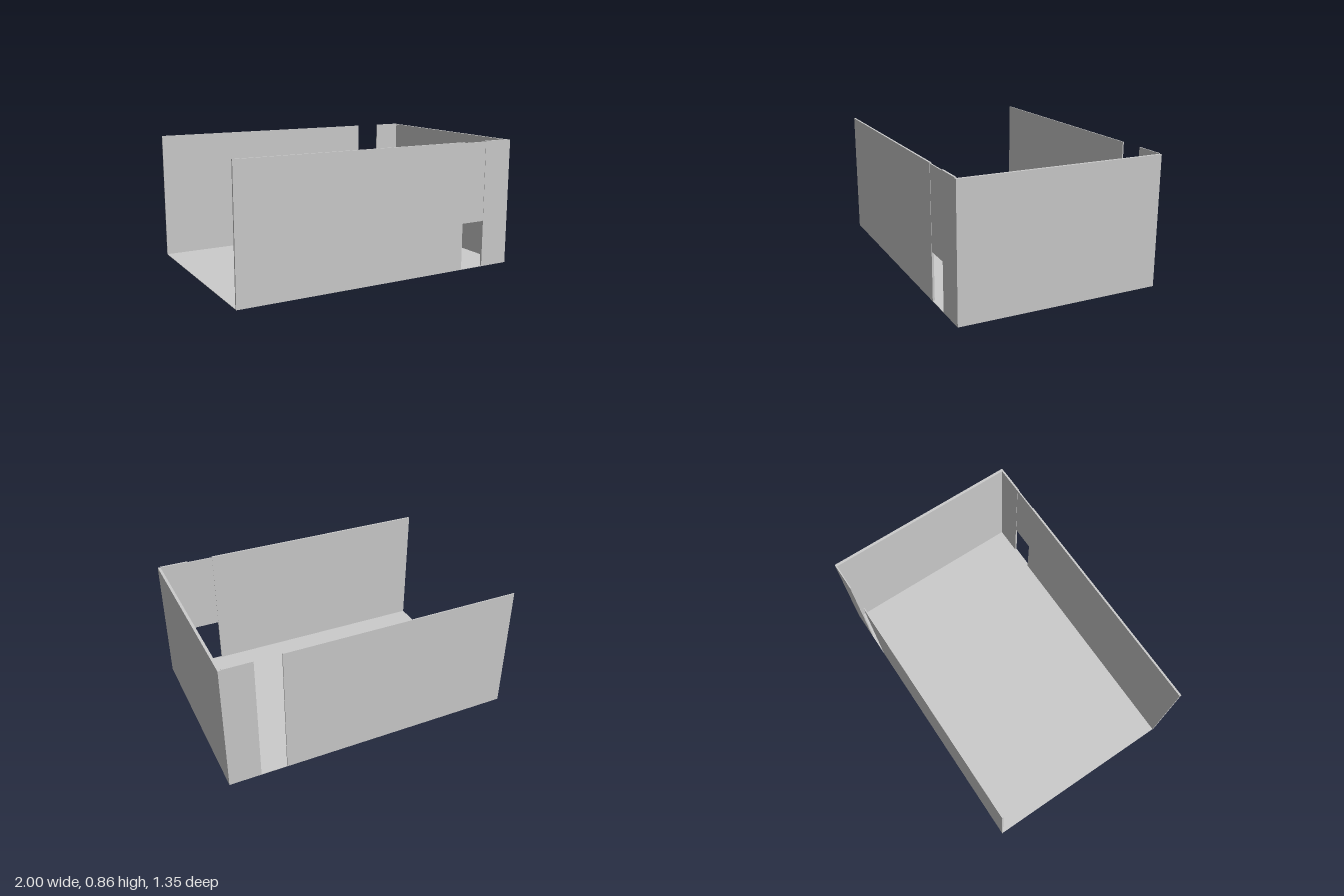
import * as THREE from 'three';

const material = new THREE.MeshStandardMaterial({ color: 0xcccccc, side: THREE.DoubleSide });

// Box given by its lower and upper limits on each axis
function slab(name, [x0, x1], [y0, y1], [z0, z1]) {
  const mesh = new THREE.Mesh(new THREE.BoxGeometry(x1 - x0, y1 - y0, z1 - z0), material);
  mesh.position.set((x0 + x1) / 2, (y0 + y1) / 2, (z0 + z1) / 2);
  mesh.name = name;
  return mesh;
}

export function createModel() {
  const room = new THREE.Group();
  room.name = 'room';

  const top = 0.862;
  const doorX = [0.615, 0.79];   // both openings share this span
  const innerX = 0.982;          // inner face of the end wall
  const frontZ = [0.659, 0.672];
  const backZ = [-0.675, -0.667];

  // Floor and the single closed end; the other end is open
  room.add(slab('floor', [-1, 1], [0, 0.003], [-0.675, 0.672]));
  room.add(slab('endWall', [innerX, 1], [0, 0.858], [-0.675, 0.672]));

  // Long walls, each split in two by its opening
  for (const [side, z] of [['front', frontZ], ['back', backZ]]) {
    room.add(slab(side + 'WallLong', [-1, doorX[0]], [0, top], z));
    room.add(slab(side + 'WallShort', [doorX[1], innerX], [0, top], z));
  }

  // Wall above the front doorway; the back opening runs full height
  room.add(slab('frontLintel', doorX, [0.318, 0.857], [0.661, 0.67]));

  return room;
}
